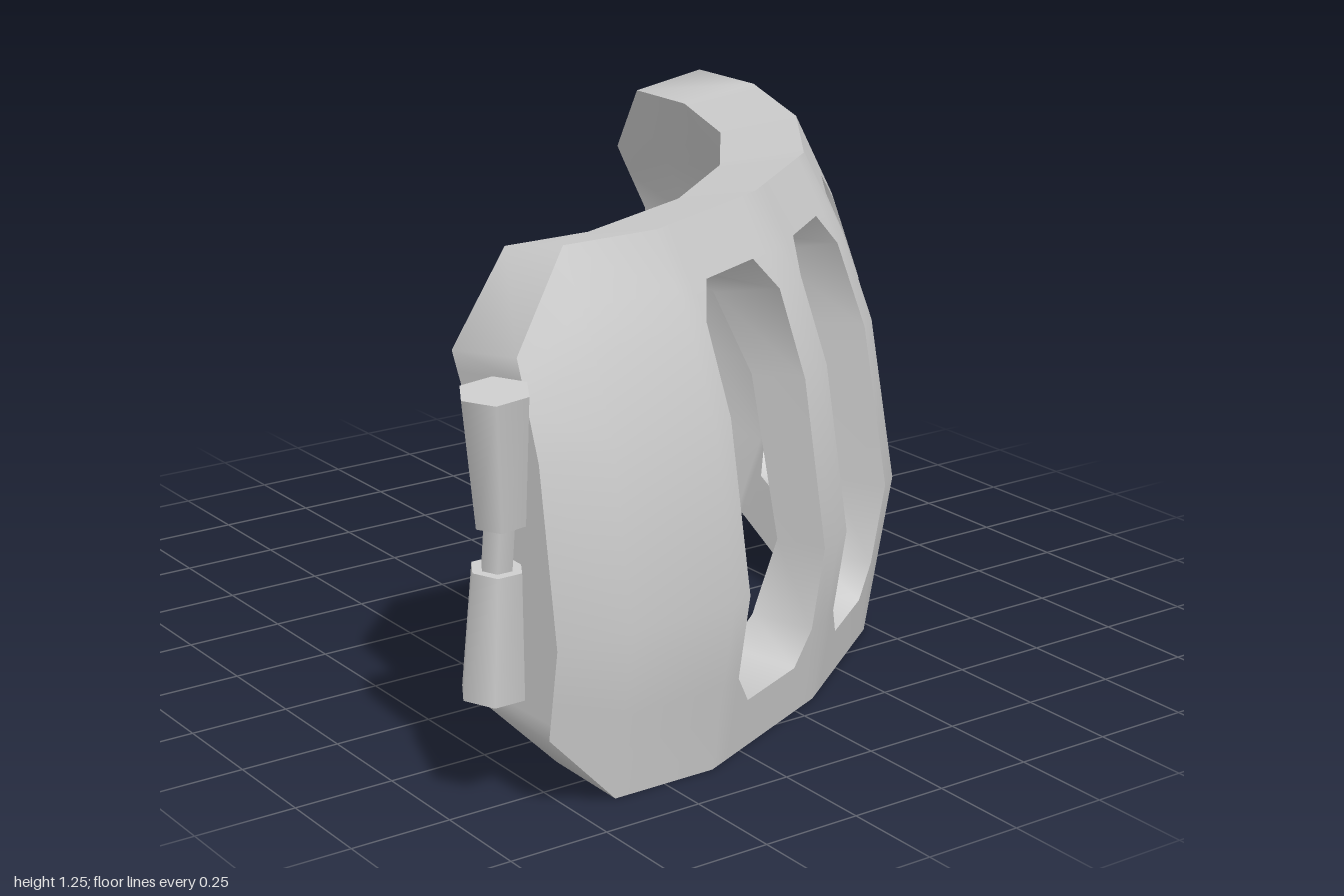
import * as THREE from 'three';
import { toCreasedNormals } from 'three/addons/utils/BufferGeometryUtils.js';

const material = new THREE.MeshStandardMaterial({ color: 0xcccccc });

// Plan stations [x, z]: widest outline and top outline (inset by INSET), first half only
const INSET = 0.23;
const wide = [[-0.91, -1], [-0.71, -1], [-0.43, -1], [0.03, -0.8], [0.445, -0.515]];
const top = [[-0.925, -0.77], [-0.735, -0.77], [-0.485, -0.77], [-0.08, -0.6], [0.275, -0.345]];
// The second half mirrors the first across the diagonal
const mirror = (list) => {
  for (let k = 3; k >= 0; k--) list.push([-list[k][1] - 0.07, -list[k][0] - 0.08]);
};
mirror(wide);
mirror(top);

// Piecewise linear interpolation
function interp(xs, ys, x) {
  let i = 0;
  while (i < xs.length - 2 && x > xs[i + 1]) i++;
  return THREE.MathUtils.lerp(ys[i], ys[i + 1], (x - xs[i]) / (xs[i + 1] - xs[i]));
}

// Vertical profile: inset of the outer face, and of the inner face in the middle and at the ends
const rows = [0, 0.13, 0.21, 0.42, 0.83, 1.04, 1.12, 1.25];
const innerRows = [0.02, 0.145, 0.215, 0.42, 0.82, 1.005, 1.07, 1.21];
const endRows = [0.2, 0.24, 0.28, 0.42, 0.83, 0.95, 1.0, 1.05]; // chamfered ends
const heights = [0, 0.42, 0.83, 1.04, 1.25];
const outerInset = [0.06, 0, 0.06, 0.13, 0.23];
const innerMiddle = [0.26, 0.13, 0.205, 0.31, 0.43];
const innerEnd = [0.27, 0.23, 0.28, 0.37, 0.43];

// Point of the shell at station s (0..8), height y, on the inner or outer face
function shellPoint(s, y, inner) {
  const k = Math.min(7, Math.floor(s)), f = s - k;
  const end = Math.max(0, 1 - Math.min(s, 8 - s) / 2);
  const station = (n, inset) => {
    const [x, z] = wide[n];
    return new THREE.Vector2(x, z).lerp(new THREE.Vector2(...top[n]), inset / INSET);
  };
  const along = (inset, t) => station(k, inset).lerp(station(k + 1, inset), t);

  const outer = along(interp(heights, outerInset, y), f);
  if (!inner) return [outer.x, y, outer.y];

  const inset = THREE.MathUtils.lerp(interp(heights, innerMiddle, y), interp(heights, innerEnd, y), end);
  let t = f;
  if (k >= 2 && k < 6 && f > 0) {
    // Slot walls run square to their panel
    const a = station(k, inset), edge = station(k + 1, inset).sub(a);
    t = outer.sub(a).dot(edge) / edge.lengthSq();
  }
  const p = along(inset, t);
  return [p.x, interp(rows, innerRows, y), p.y];
}

function createShell() {
  // Columns: two plain panels at each end, four slotted panels between
  const slotColumns = [0, 0.14, 0.27, 0.73, 0.86];
  const columns = [0, 1];
  for (let k = 2; k < 6; k++) slotColumns.forEach((u) => columns.push(k + u));
  columns.push(6, 7, 8);

  // Faces as lists of [column, row]; slot cells are left out, slot corners are triangles
  const faces = [];
  for (let i = 0; i < columns.length - 1; i++) {
    const slotted = columns[i] >= 2 && columns[i] < 6;
    const c = slotted ? (i - 2) % 5 : 0;
    for (let j = 0; j < rows.length - 1; j++) {
      const quad = [[i, j], [i, j + 1], [i + 1, j + 1], [i + 1, j]];
      const inSlot = slotted && c >= 1 && c <= 3 && j >= 1 && j <= 5;
      if (!inSlot) faces.push(quad);
      else if (c !== 2 && (j === 1 || j === 5)) {
        const open = c === 1 ? (j === 1 ? 2 : 3) : (j === 1 ? 1 : 0);
        faces.push(quad.filter((_, n) => n !== open));
      }
    }
  }

  const positions = [];
  const addFace = (points) => {
    for (let n = 1; n < points.length - 1; n++) positions.push(...points[0], ...points[n], ...points[n + 1]);
  };
  const point = ([i, j], inner) => {
    const s = columns[i];
    return shellPoint(s, (s === 0 || s === 8 ? endRows : rows)[j], inner);
  };

  // Outer and inner skins
  const edges = new Map();
  for (const face of faces) {
    addFace(face.map((p) => point(p, false)));
    addFace(face.map((p) => point(p, true)).reverse());
    face.forEach((a, n) => {
      const b = face[(n + 1) % face.length];
      edges.set(`${a}|${b}`, [a, b]);
    });
  }
  // Walls along the rim and the slots: every edge used by one face only
  for (const [a, b] of edges.values()) {
    if (!edges.has(`${b}|${a}`)) {
      addFace([point(b, false), point(a, false), point(a, true), point(b, true)]);
    }
  }

  const geometry = new THREE.BufferGeometry();
  geometry.setAttribute('position', new THREE.Float32BufferAttribute(positions, 3));
  const mesh = new THREE.Mesh(toCreasedNormals(geometry, 0.9), material);
  mesh.name = 'slottedShell';
  return mesh;
}

// Six-sided rod between two points, smooth around its side
function rod(name, from, to, r0, r1) {
  const a = new THREE.Vector3(...from), b = new THREE.Vector3(...to);
  const dir = b.clone().sub(a);
  const mesh = new THREE.Mesh(new THREE.CylinderGeometry(r1, r0, dir.length(), 6), material);
  mesh.quaternion.setFromUnitVectors(new THREE.Vector3(0, 1, 0), dir.normalize());
  mesh.position.copy(a).add(b).multiplyScalar(0.5);
  mesh.name = name;
  return mesh;
}

export function createModel() {
  const model = new THREE.Group();
  model.name = 'slottedGuard';
  model.add(createShell());

  // Hinge pin standing against the front end
  const hinge = new THREE.Group();
  hinge.name = 'hinge';
  hinge.add(
    rod('lowerBarrel', [0.77, 0.285, 0.893], [0.79, 0.585, 0.893], 0.078, 0.062),
    rod('neck', [0.788, 0.56, 0.893], [0.805, 0.71, 0.893], 0.038, 0.038),
    rod('upperBarrel', [0.807, 0.695, 0.893], [0.828, 0.998, 0.917], 0.062, 0.083),
  );
  model.add(hinge);
  return model;
}
